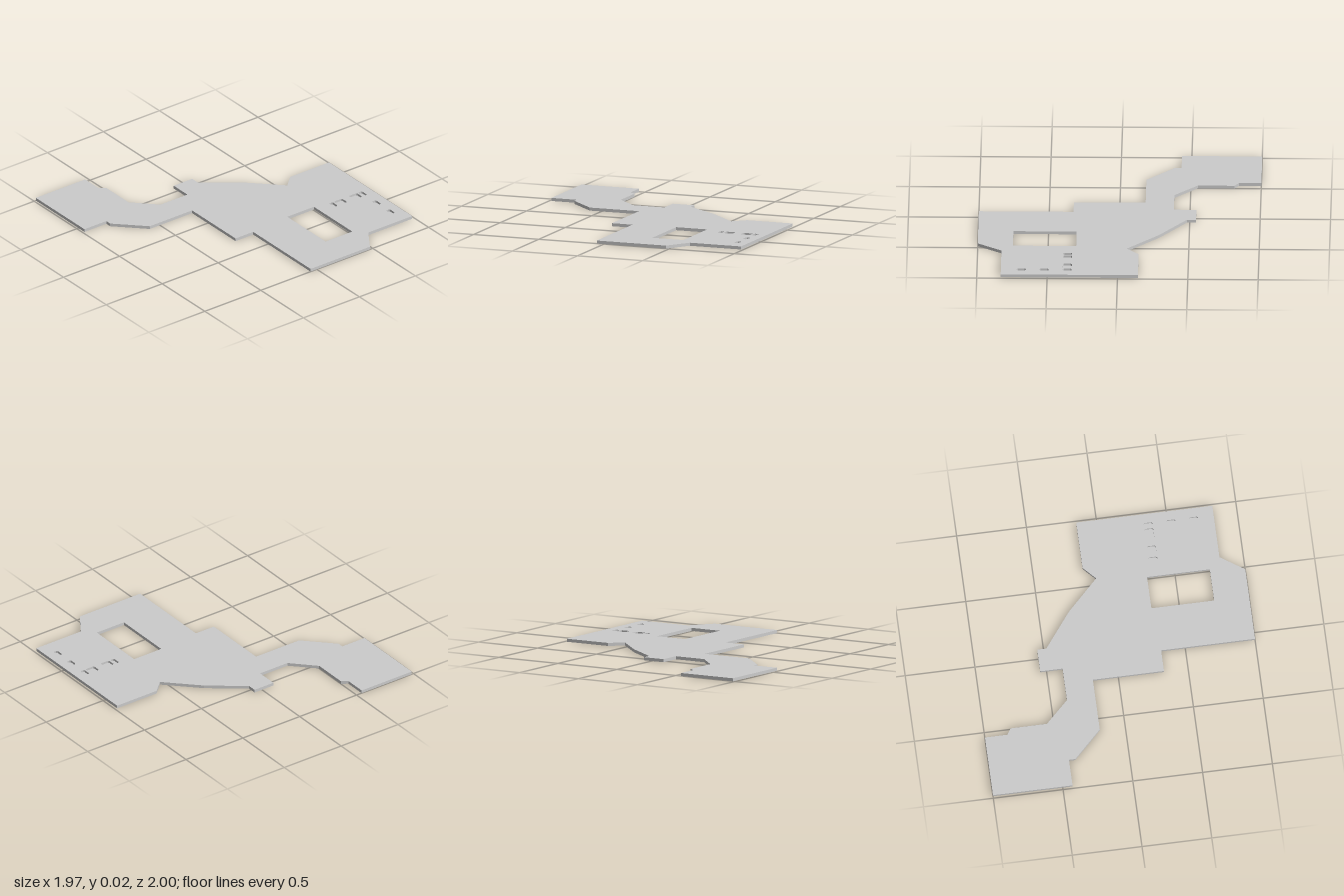
import * as THREE from 'three';
import { mergeGeometries } from 'three/addons/utils/BufferGeometryUtils.js';

const TOP = 0.022, POCKET_FLOOR = 0.006;

// Plan outline as [x, z], clockwise seen from above
const OUTLINE = [
  [-0.985, -1], [-0.545, -1], [-0.545, -0.84], [-0.5, -0.81], [-0.5, -0.55],
  [-0.34, -0.385], [-0.1, -0.385], [-0.1, -0.545], [0.065, -0.545], [0.065, -0.48],
  [0.32, -0.285], [0.545, -0.06], [0.635, -0.145], [0.982, -0.145], [0.982, 0.83],
  [0.59, 0.83], [0.475, 1], [-0.055, 1], [-0.055, 0.327], [-0.212, 0.327],
  [-0.212, -0.183], [-0.59, -0.183], [-0.79, -0.385], [-0.79, -0.43], [-0.985, -0.43],
];

// Rectangle with cut corners, clockwise seen from above
function rectLoop(x0, x1, z0, z1, cut = 0) {
  if (!cut) return [[x0, z0], [x1, z0], [x1, z1], [x0, z1]];
  return [
    [x0 + cut, z0], [x1 - cut, z0], [x1, z0 + cut], [x1, z1 - cut],
    [x1 - cut, z1], [x0 + cut, z1], [x0, z1 - cut], [x0, z0 + cut],
  ];
}

// Flat face at height y, facing up or down, with optional holes
function cap(loop, holes, y, up) {
  const s = up ? -1 : 1;
  const pts = (l) => l.map(([x, z]) => new THREE.Vector2(x, s * z));
  const shape = new THREE.Shape(pts(loop));
  for (const h of holes) shape.holes.push(new THREE.Path(pts(h)));
  return new THREE.ShapeGeometry(shape).rotateX(s * Math.PI / 2).translate(0, y, 0).toNonIndexed();
}

// Upright band along a loop; clockwise loops face outward, reversed ones inward
function walls(loop, y0, y1) {
  const pos = [], uv = [];
  loop.forEach(([ax, az], i) => {
    const [bx, bz] = loop[(i + 1) % loop.length];
    pos.push(ax, y0, az, ax, y1, az, bx, y1, bz, ax, y0, az, bx, y1, bz, bx, y0, bz);
    uv.push(0, 0, 0, 1, 1, 1, 0, 0, 1, 1, 1, 0);
  });
  const g = new THREE.BufferGeometry();
  g.setAttribute('position', new THREE.Float32BufferAttribute(pos, 3));
  g.setAttribute('uv', new THREE.Float32BufferAttribute(uv, 2));
  g.computeVertexNormals();
  return g;
}

export function createModel() {
  const group = new THREE.Group();
  group.name = 'floorPlate';
  const material = new THREE.MeshStandardMaterial({ color: 0xcccccc, flatShading: true });
  const add = (name, parts) => {
    const mesh = new THREE.Mesh(mergeGeometries(parts), material);
    mesh.name = name;
    group.add(mesh);
  };

  const opening = rectLoop(0.27, 0.508, 0.3, 0.75);
  const pockets = [
    [0.62, 0.653, 0.327, 0.391], [0.665, 0.738, 0.327, 0.391],
    [0.797, 0.87, 0.327, 0.391], [0.881, 0.915, 0.327, 0.391],
    [0.881, 0.915, 0.49, 0.555], [0.881, 0.915, 0.653, 0.717],
  ].map((r) => rectLoop(...r, 0.008));

  // Slab with the large opening cut right through
  add('slab', [
    cap(OUTLINE, [opening, ...pockets], TOP, true),
    cap(OUTLINE, [opening], 0, false),
    walls(OUTLINE, 0, TOP),
  ]);
  add('openingWalls', [walls([...opening].reverse(), 0, TOP)]);

  // Shallow pockets sunk into the top
  pockets.forEach((p, i) => add(`pocket${i + 1}`, [
    cap(p, [], POCKET_FLOOR, true),
    walls([...p].reverse(), POCKET_FLOOR, TOP),
  ]));
  return group;
}
